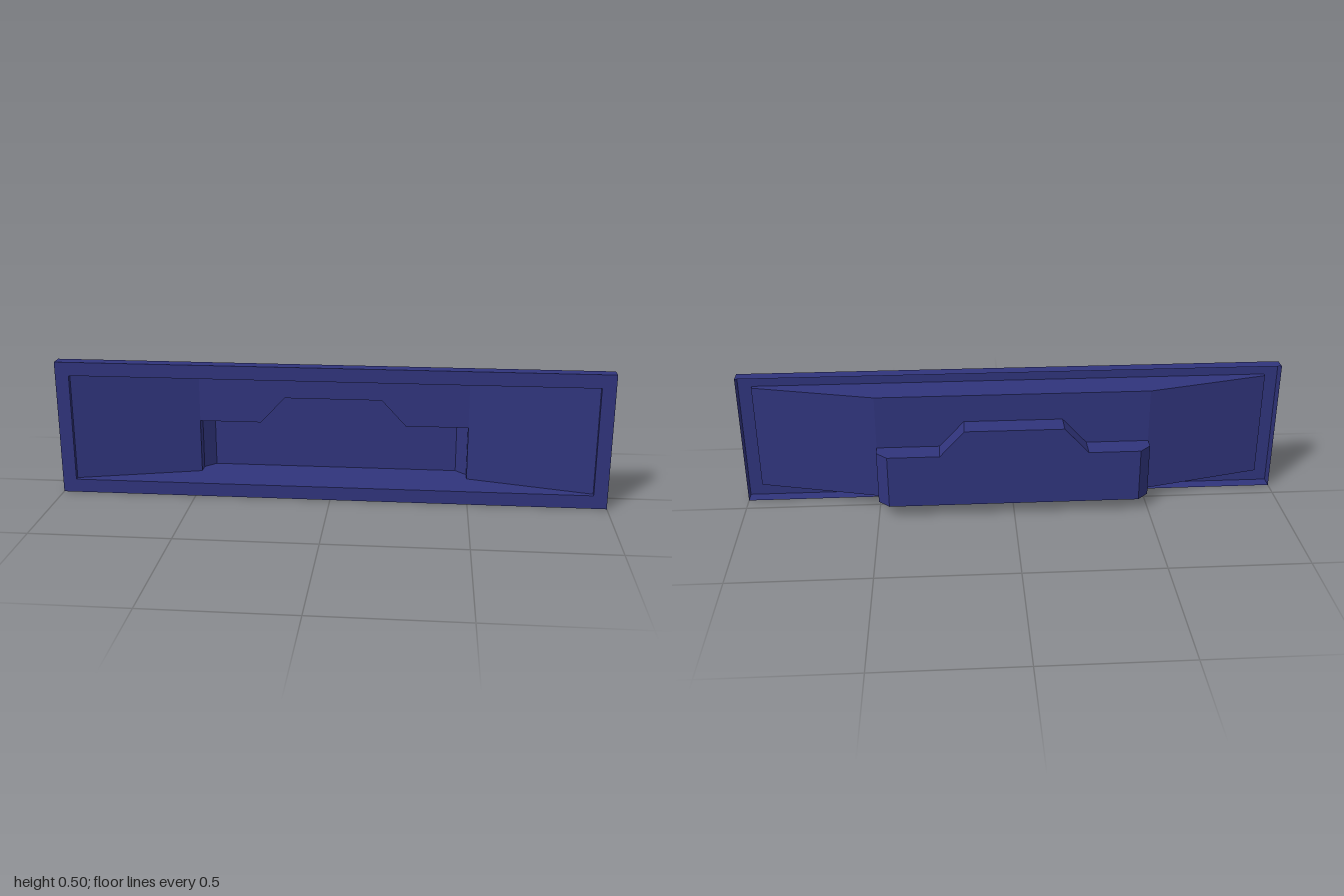
import * as THREE from 'three';

const material = new THREE.MeshStandardMaterial({ color: 0x30347c, side: THREE.DoubleSide, flatShading: true });

// depths from the front face to the back of the pocket
const Z = { front: 0.108, flange: 0.06, lip: 0.092, plate: -0.023, bevel: -0.068, back: -0.108 };
const FLOOR = 0.05, TOP = 0.45, SHELF = 0.25, ROOF = 0.347;

export function createModel() {
  const model = new THREE.Group();
  model.name = 'recessedPanel';

  const toShape = pts => new THREE.Shape(pts.map(p => new THREE.Vector2(...p)));
  const mirrored = pts => [...pts, ...pts.map(([u, v]) => [-u, v]).reverse()];
  const rect = (x, y0, y1) => [[-x, y0], [x, y0], [x, y1], [-x, y1]];

  // flat sheet: a 2D outline placed in space by a mapping rule
  function sheet(name, shape, place) {
    const geo = new THREE.ShapeGeometry(shape);
    const pos = geo.attributes.position;
    for (let i = 0; i < pos.count; i++) pos.setXYZ(i, ...place(pos.getX(i), pos.getY(i)));
    geo.computeVertexNormals();
    add(name, geo);
  }

  // folded sheet: a path swept between two values by a mapping rule
  function ribbon(name, path, a, b, place) {
    const v = [];
    for (let i = 0; i < path.length - 1; i++) {
      const [p, q] = [path[i], path[i + 1]];
      for (const [c, t] of [[p, a], [q, a], [q, b], [p, a], [q, b], [p, b]]) v.push(...place(...c, t));
    }
    const geo = new THREE.BufferGeometry();
    geo.setAttribute('position', new THREE.Float32BufferAttribute(v, 3));
    geo.computeVertexNormals();
    add(name, geo);
  }

  function add(name, geo) {
    const mesh = new THREE.Mesh(geo, material);
    mesh.name = name;
    model.add(mesh);
  }

  const atZ = z => (x, y) => [x, y, z];
  const atY = y => (x, z) => [x, y, z];
  const alongZ = (x, y, z) => [x, y, z];
  const alongY = (x, z, y) => [x, y, z];

  // rim: front border and the flange folded back around it
  const border = toShape(rect(1, 0, 0.5));
  border.holes.push(toShape(rect(0.95, FLOOR, TOP)));
  sheet('rimFace', border, atZ(Z.front));
  const edge = rect(1, 0, 0.5);
  ribbon('rimFlange', [...edge, edge[0]], Z.front, Z.flange, alongZ);

  // half plans of the tray and the pocket behind it
  const trayPlan = [[0.95, Z.front], [0.95, Z.lip], [0.5, Z.plate]];
  const pocketPlan = [[0.5, Z.plate], [0.5, Z.bevel], [0.46, Z.back]];

  // tray: ceiling, floor shared with the pocket, sloping ends
  sheet('trayCeiling', toShape(mirrored(trayPlan)), atY(TOP));
  sheet('floor', toShape(mirrored([...trayPlan, ...pocketPlan.slice(1)])), atY(FLOOR));

  // back plate, cut away where the pocket opens
  const opening = [[0.5, SHELF], [0.27, SHELF], [0.18, ROOF]];
  sheet('backPlate', toShape(mirrored([[0.5, TOP], ...opening])), atZ(Z.plate));

  // pocket back and raised roof
  sheet('pocketBack', toShape(mirrored([[0.46, FLOOR], [0.46, SHELF], ...opening.slice(1)])), atZ(Z.back));
  ribbon('pocketRoof', mirrored(opening.slice(1)), Z.plate, Z.back, alongZ);

  for (const [side, s] of [['left', 1], ['right', -1]]) {
    const flip = pts => pts.map(([x, z]) => [s * x, z]);
    ribbon(side + 'TrayEnd', flip(trayPlan), FLOOR, TOP, alongY);
    ribbon(side + 'PocketEnd', flip(pocketPlan), FLOOR, SHELF, alongY);
    sheet(side + 'PocketShelf', toShape(flip([[0.27, Z.plate], ...pocketPlan, [0.27, Z.back]])), atY(SHELF));
  }
  return model;
}
